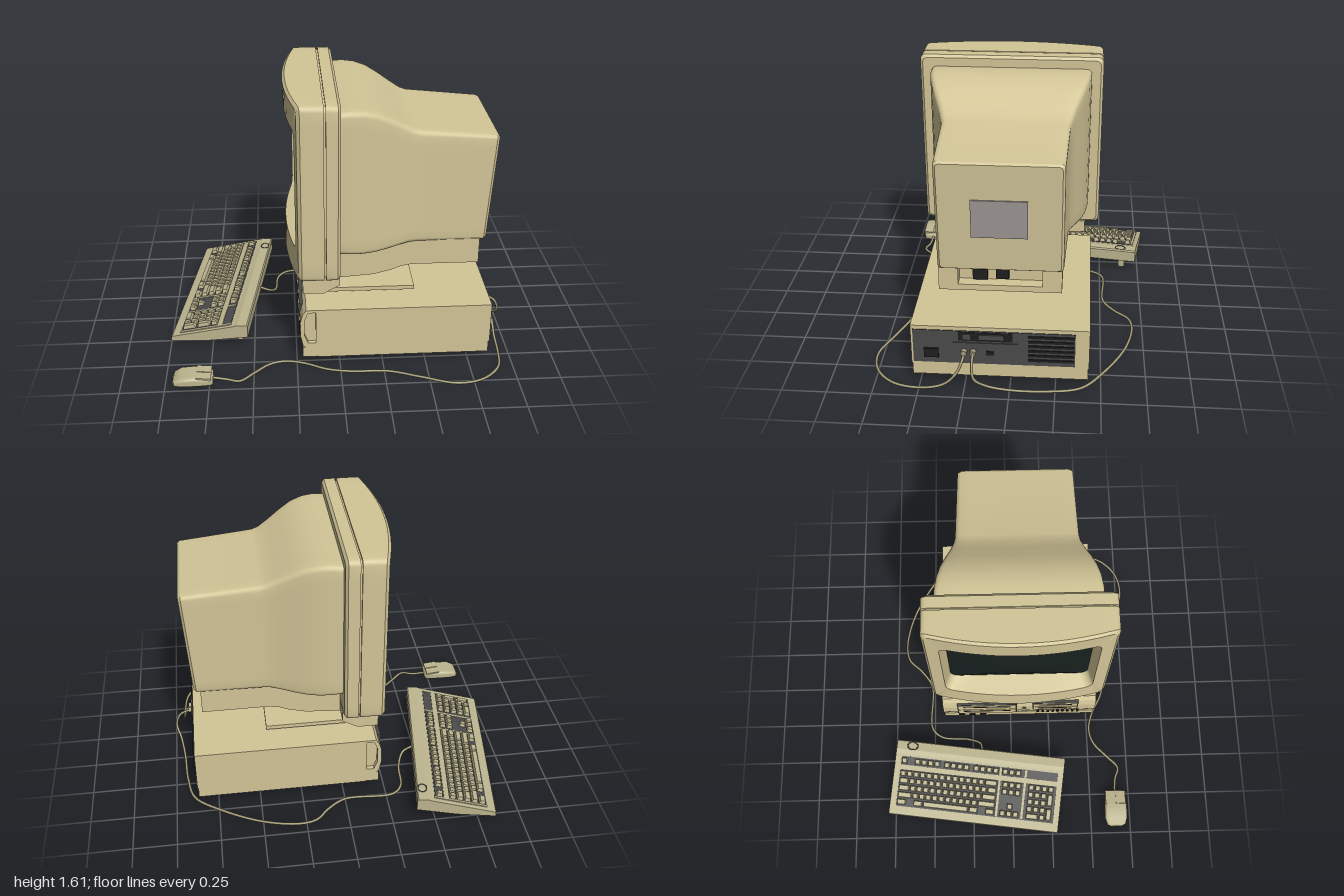
import * as THREE from 'three';
import { mergeGeometries, toCreasedNormals } from 'three/addons/utils/BufferGeometryUtils.js';

const mat = (name, color) => Object.assign(new THREE.MeshStandardMaterial({ color }), { name });
const V = (x, y, z) => new THREE.Vector3(x, y, z);
const ZC = 0.05; // centre line of monitor and case

export function createModel() {
  const model = new THREE.Group();
  model.name = 'desktopComputer';
  const beige = mat('beige plastic', 0xd2c597), putty = mat('putty plastic', 0xbeb690);
  const cableMat = mat('cable', 0xa39b76), steel = mat('dark steel', 0x4b4a4a);
  const black = mat('black', 0x1f1f1f), glass = mat('screen glass', 0x18211f);
  const label = mat('grey label', 0x9f9896), green = mat('green light', 0x4f8a4a);

  const add = (name, geo, m, parent = model) => {
    const mesh = new THREE.Mesh(geo, m);
    mesh.name = name;
    parent.add(mesh);
    return mesh;
  };
  // box given by its limits on each axis
  const boxGeo = (x0, x1, y0, y1, z0, z1) =>
    new THREE.BoxGeometry(x1 - x0, y1 - y0, z1 - z0).translate((x0 + x1) / 2, (y0 + y1) / 2, (z0 + z1) / 2);
  const box = (name, m, ...lim) => add(name, boxGeo(...lim), m);
  // side profile in x,y swept along z
  const sweep = (pts, z0, z1, hole) => {
    const s = new THREE.Shape(pts.map(p => new THREE.Vector2(...p)));
    if (hole) s.holes.push(new THREE.Path(hole.map(p => new THREE.Vector2(...p))));
    return new THREE.ExtrudeGeometry(s, { depth: z1 - z0, bevelEnabled: false }).translate(0, 0, z0);
  };
  // rounded rectangle across the x axis; f offsets x over the outline
  const ring = (x, zc, hw, y0, y1, r, f = () => 0) => {
    const arcs = [[1, 1], [-1, 1], [-1, -1], [1, -1]].map(([sx, sy], k) =>
      [0, 1, 2, 3, 4].map(a => {
        const t = (k + a / 4) * Math.PI / 2;
        return [sx * (hw - r) + r * Math.cos(t), (sy > 0 ? y1 - r : y0 + r) + r * Math.sin(t)];
      }));
    const pts = [];
    arcs.forEach((arc, k) => {
      pts.push(...arc);
      const a = arc[4], b = arcs[(k + 1) % 4][0];
      for (let i = 1; i < 12; i++) pts.push([a[0] + (b[0] - a[0]) * i / 12, a[1] + (b[1] - a[1]) * i / 12]);
    });
    return pts.map(([u, y]) => V(x + f(zc - u, y), y, zc - u));
  };
  // skin over a list of rings, with optional end caps
  const loft = (rings, capStart, capEnd, crease = 0.6) => {
    const out = [], tri = (...p) => p.forEach(v => out.push(v.x, v.y, v.z));
    const n = rings[0].length;
    for (let i = 0; i + 1 < rings.length; i++) for (let j = 0; j < n; j++) {
      const k = (j + 1) % n, [A, B] = [rings[i], rings[i + 1]];
      tri(A[j], A[k], B[k]);
      tri(A[j], B[k], B[j]);
    }
    const cap = (R, flip) => {
      const c = R.reduce((s, p) => s.add(p), V(0, 0, 0)).divideScalar(n);
      for (let j = 0; j < n; j++) { const k = (j + 1) % n; flip ? tri(c, R[k], R[j]) : tri(c, R[j], R[k]); }
    };
    if (capStart) cap(rings[0], true);
    if (capEnd) cap(rings[rings.length - 1], false);
    const g = new THREE.BufferGeometry();
    g.setAttribute('position', new THREE.Float32BufferAttribute(out, 3));
    return toCreasedNormals(g, crease);
  };

  // --- monitor bezel: curved front frame, groove, rear rim
  const bow = z => -0.07 * (1 - ((z - ZC) / 0.52) ** 2);
  add('monitorBezel', loft([
    ring(-0.16, ZC, 0.40, 0.77, 1.41, 0.06),
    ring(-0.225, ZC, 0.435, 0.74, 1.44, 0.05, bow),
    ring(-0.23, ZC, 0.505, 0.585, 1.59, 0.03, bow),
    ring(-0.215, ZC, 0.52, 0.57, 1.605, 0.03, bow),
    ring(-0.09, ZC, 0.52, 0.57, 1.605, 0.03),
    ring(-0.09, ZC, 0.508, 0.582, 1.593, 0.03),
    ring(-0.08, ZC, 0.508, 0.582, 1.593, 0.03),
    ring(-0.08, ZC, 0.52, 0.57, 1.605, 0.03),
    ring(-0.015, ZC, 0.52, 0.57, 1.605, 0.03),
    ring(0, ZC, 0.505, 0.585, 1.59, 0.03)], false, true), beige);
  add('screen', loft([0.05, 0.25, 0.5, 0.75, 1].map(s =>
    ring(-0.22 + 0.05 * s * s, ZC, 0.41 * s, 1.09 - 0.33 * s, 1.09 + 0.33 * s, 0.06 * s)), true, false), glass);

  // --- monitor shell tapering to the rear
  const lean = (z, y) => (y - 1.345) * 0.062;
  const shell = [[0, 0.455, 0.70, 1.54], [0.06, 0.453, 0.695, 1.546], [0.13, 0.443, 0.69, 1.54], [0.2, 0.425, 0.69, 1.52],
    [0.27, 0.4, 0.695, 1.482], [0.34, 0.372, 0.702, 1.438], [0.4, 0.354, 0.71, 1.402], [0.44, 0.347, 0.71, 1.39]]
    .map(([x, h, a, b]) => ring(x, ZC, h, a, b, 0.03));
  shell.push(ring(0.865, ZC, 0.333, 0.71, 1.348, 0.02, lean), ring(0.88, ZC, 0.32, 0.72, 1.338, 0.02, lean));
  add('monitorShell', loft(shell, false, true, 0.5), beige);
  const plate = add('rearLabel', new THREE.BoxGeometry(0.008, 0.22, 0.295), label);
  plate.position.set(0.863, 1.028, 0.052);
  plate.rotation.z = -0.062;

  // --- lower housing with socket recess
  add('monitorUnderside', sweep([[0, 0.49], [0.2, 0.505], [0.3, 0.53], [0.36, 0.555], [0.42, 0.565], [0.74, 0.565], [0.74, 0.72], [0, 0.72]], -0.275, 0.385), beige);
  box('recessSideLeft', beige, 0.74, 0.805, 0.565, 0.72, 0.28, 0.385);
  box('recessSideRight', beige, 0.74, 0.805, 0.565, 0.72, -0.275, -0.17);
  box('recessFloor', beige, 0.74, 0.805, 0.565, 0.6, -0.17, 0.28);
  box('monitorPowerSocket', black, 0.74, 0.77, 0.612, 0.675, 0.125, 0.205);
  box('monitorVideoSocket', black, 0.74, 0.77, 0.62, 0.68, 0.01, 0.08);
  add('monitorChin', sweep([[-0.21, 0.575], [-0.21, 0.45], [-0.09, 0.45], [0, 0.5], [0, 0.575]], -0.39, 0.49), beige);

  // --- swivel stand
  add('standNeck', new THREE.LatheGeometry([[0.135, 0.41], [0.1, 0.44], [0.085, 0.465], [0.1, 0.49], [0.125, 0.515], [0.12, 0.56]]
    .map(p => new THREE.Vector2(...p)), 32).translate(0.18, 0, ZC), beige).material.side = THREE.FrontSide;
  box('standPlate', beige, -0.09, 0.44, 0.39, 0.415, -0.27, 0.375);
  box('standPad', beige, -0.02, 0.37, 0.365, 0.392, -0.19, 0.29);

  // --- computer case
  box('caseCover', beige, -0.13, 0.87, 0.122, 0.37, -0.432, 0.542);
  box('caseBase', beige, -0.13, 0.865, 0.05, 0.122, -0.428, 0.538);
  const front = [[-0.13, 0.12], [-0.13, 0.37], [-0.195, 0.37], [-0.215, 0.34], [-0.229, 0.29], [-0.229, 0.2], [-0.215, 0.135], [-0.2, 0.12]];
  const scoop = [[-0.14, 0.15], [-0.14, 0.355], [-0.185, 0.35], [-0.205, 0.3], [-0.205, 0.2], [-0.185, 0.15]];
  add('caseFront', sweep(front, -0.405, 0.515), beige);
  add('frontGripRight', sweep(front, -0.432, -0.405, scoop), beige);
  add('frontGripLeft', sweep(front, 0.515, 0.542, scoop), beige);
  box('frontSkirt', beige, -0.215, -0.13, 0.055, 0.12, -0.43, 0.54);
  for (const [y0, y1, z0, z1] of [[0.17, 0.335, -0.34, 0.04], [0.225, 0.345, 0.14, 0.43]]) {
    box('driveBay', steel, -0.232, -0.19, y0, y1, z0, z1);
    for (let i = 0; i < 2; i++) {
      const h = (y1 - y0) / 2, a = y0 + i * h + 0.005;
      box('driveFace', beige, -0.236, -0.2, a, a + h - 0.01, z0 + 0.005, z1 - 0.005);
      box('driveSlot', black, -0.238, -0.234, a + h * 0.5, a + h * 0.5 + 0.01, z0 + 0.04, z1 - 0.04);
    }
  }
  for (let i = 0; i < 9; i++) box('frontVent', black, -0.231, -0.2, 0.145, 0.2, 0.17 + i * 0.032, 0.185 + i * 0.032);
  box('powerLight', green, -0.233, -0.2, 0.25, 0.262, 0.075, 0.1);
  box('powerButton', putty, -0.238, -0.2, 0.19, 0.22, 0.07, 0.105);
  for (let i = 0; i < 3; i++) box('frontSocket', black, -0.219, -0.2, 0.075, 0.1, -0.34 + i * 0.07, -0.3 + i * 0.07);
  for (const x of [-0.06, 0.735]) for (const z of [-0.365, 0.47])
    add('caseFoot', new THREE.CylinderGeometry(0.042, 0.03, 0.035, 20).translate(x, 0.034, z), steel);

  // --- rear panel and connectors
  box('rearPanel', steel, 0.865, 0.874, 0.137, 0.347, -0.355, 0.53);
  box('portStrip', black, 0.87, 0.876, 0.285, 0.342, -0.015, 0.28);
  box('portRound', steel, 0.87, 0.882, 0.297, 0.33, 0.215, 0.255);
  box('portWide', steel, 0.87, 0.884, 0.297, 0.33, 0.03, 0.17);
  box('cablePlate', steel, 0.87, 0.879, 0.16, 0.275, -0.045, 0.31);
  box('smallPort', black, 0.87, 0.884, 0.2, 0.225, 0.085, 0.13);
  box('powerInlet', black, 0.87, 0.884, 0.175, 0.232, 0.39, 0.47);
  for (let i = 0; i < 6; i++) box('rearVent', black, 0.87, 0.88, 0.165 + i * 0.03, 0.18 + i * 0.03, -0.35, -0.1);

  // --- keyboard
  const kb = new THREE.Group();
  kb.name = 'keyboard';
  kb.position.set(-0.695, 0, -0.225);
  kb.rotation.y = -0.137;
  model.add(kb);
  add('keyboardBody', sweep([[-0.232, 0.02], [0, 0.035], [0.232, 0.07], [0.232, 0.14], [0.225, 0.148], [0.17, 0.148], [0.145, 0.139], [-0.222, 0.052], [-0.232, 0.045]], -0.542, 0.542), putty, kb);
  const slopeY = x => 0.05 + (x + 0.23) * 0.237;
  const bed = new THREE.BoxGeometry(0.318, 0.006, 1.02).rotateZ(0.233).translate(-0.026, slopeY(-0.026), 0.002);
  add('keyBed', bed, steel, kb);
  add('keyRim', mergeGeometries([[-0.0255, -0.507, 0.32, 0.012], [-0.0255, 0.512, 0.32, 0.012], [0.061, 0, 0.03, 1.02], [-0.0255, 0.141, 0.31, 0.014], [-0.0255, 0.303, 0.31, 0.014]]
    .map(([x, z, w, d]) => new THREE.BoxGeometry(w, 0.012, d).rotateZ(0.233).translate(x, slopeY(x), z))), putty, kb);
  const keys = [], U = 0.042;
  const key = (x, z0, units, deep = 1) => {
    const w = units * U - 0.006, g = new THREE.BoxGeometry(0.044 * deep - 0.007, 0.026, w), p = g.attributes.position;
    for (let i = 0; i < p.count; i++) if (p.getY(i) > 0) { // tapered key top
      p.setX(i, p.getX(i) * 0.76);
      p.setZ(i, p.getZ(i) - Math.sign(p.getZ(i)) * 0.005);
    }
    g.computeVertexNormals();
    keys.push(g.rotateZ(0.233).translate(x, slopeY(x) + 0.012, z0 + units * U / 2));
  };
  const row = (x, z, widths) => widths.forEach(w => { if (w > 0) key(x, z, w); z += Math.abs(w) * U; });
  const ones = n => Array(n).fill(1), R = [0.021, -0.023, -0.067, -0.111, -0.155];
  row(R[0], -0.5, [...ones(13), 2]);
  row(R[1], -0.5, [1.5, ...ones(12), 1.5]);
  row(R[2], -0.5, [1.75, ...ones(11), 2.25]);
  row(R[3], -0.5, [2.25, ...ones(10), 2.75]);
  row(R[4], -0.5, [1.5, -1, 1.5, 7, 1.5, -1, 1.5]);
  row(0.1, -0.5, [1, -1, ...ones(4), -0.5, ...ones(4), -0.5, ...ones(4), -0.45, ...ones(3)]);
  row(R[0], 0.158, ones(3));
  row(R[1], 0.158, ones(3));
  row(R[3], 0.158, [-1, 1]);
  row(R[4], 0.158, ones(3));
  row(R[0], 0.325, ones(4));
  for (const r of [1, 2, 3]) row(R[r], 0.325, ones(3));
  row(R[4], 0.325, [2, 1]);
  key((R[1] + R[2]) / 2, 0.325 + 3 * U, 1, 2);
  key((R[3] + R[4]) / 2, 0.325 + 3 * U, 1, 2);
  add('keys', mergeGeometries(keys), putty, kb);
  add('ovalInset', new THREE.TorusGeometry(0.025, 0.003, 6, 24).rotateX(Math.PI / 2).scale(1, 1, 1.3).translate(0.198, 0.148, -0.44), steel, kb);
  for (const z of [-0.45, 0.45]) add('keyboardFoot', boxGeo(0.16, 0.19, 0, 0.07, z - 0.02, z + 0.02), putty, kb);

  // --- mouse
  add('mouseBody', loft([[-0.96, 0.035, 0.02], [-0.95, 0.058, 0.038], [-0.91, 0.07, 0.054], [-0.84, 0.07, 0.06], [-0.77, 0.066, 0.053], [-0.738, 0.06, 0.044], [-0.73, 0.05, 0.035]]
    .map(([x, h, top]) => ring(x, 0.66, h, 0.004, top, 0.008 + top * 0.12)), true, true, 0.8), putty);
  for (const s of [-1, 1])
    add('mouseButton', new THREE.BoxGeometry(0.085, 0.012, 0.06).rotateZ(-0.1).translate(-0.782, 0.053, 0.66 + s * 0.033), putty);

  // --- cables lying on the desk and rising to the rear panel
  const cable = (name, pts) => add(name, new THREE.TubeGeometry(
    new THREE.CatmullRomCurve3(pts.map(([x, z, y = 0.01]) => V(x, y, z))), 160, 0.008, 8), cableMat);
  cable('keyboardCable', [[-0.47, -0.19, 0.09], [-0.41, -0.2, 0.06], [-0.37, -0.28, 0.02], [-0.35, -0.45], [-0.29, -0.515], [0, -0.52],
    [0.11, -0.59], [0.19, -0.67], [0.29, -0.69], [0.5, -0.645], [0.75, -0.51], [0.89, -0.39], [0.93, -0.22], [0.945, 0, 0.02],
    [0.965, 0.13, 0.06], [0.988, 0.19, 0.12], [0.96, 0.2, 0.19], [0.91, 0.2, 0.215], [0.87, 0.2, 0.22]]);
  cable('mouseCable', [[-0.735, 0.66, 0.02], [-0.65, 0.67], [-0.58, 0.69], [-0.5, 0.62], [-0.41, 0.54], [-0.32, 0.515], [-0.21, 0.54],
    [-0.08, 0.605], [0.06, 0.635], [0.27, 0.645], [0.45, 0.71], [0.65, 0.78], [0.8, 0.75], [0.91, 0.64], [0.94, 0.48],
    [0.94, 0.36, 0.04], [0.935, 0.29, 0.11], [0.91, 0.255, 0.19], [0.87, 0.25, 0.22]]);
  for (const z of [0.2, 0.25])
    add('cablePlug', new THREE.CylinderGeometry(0.016, 0.016, 0.03, 16).rotateZ(Math.PI / 2).translate(0.89, 0.22, z), cableMat);
  return model;
}
